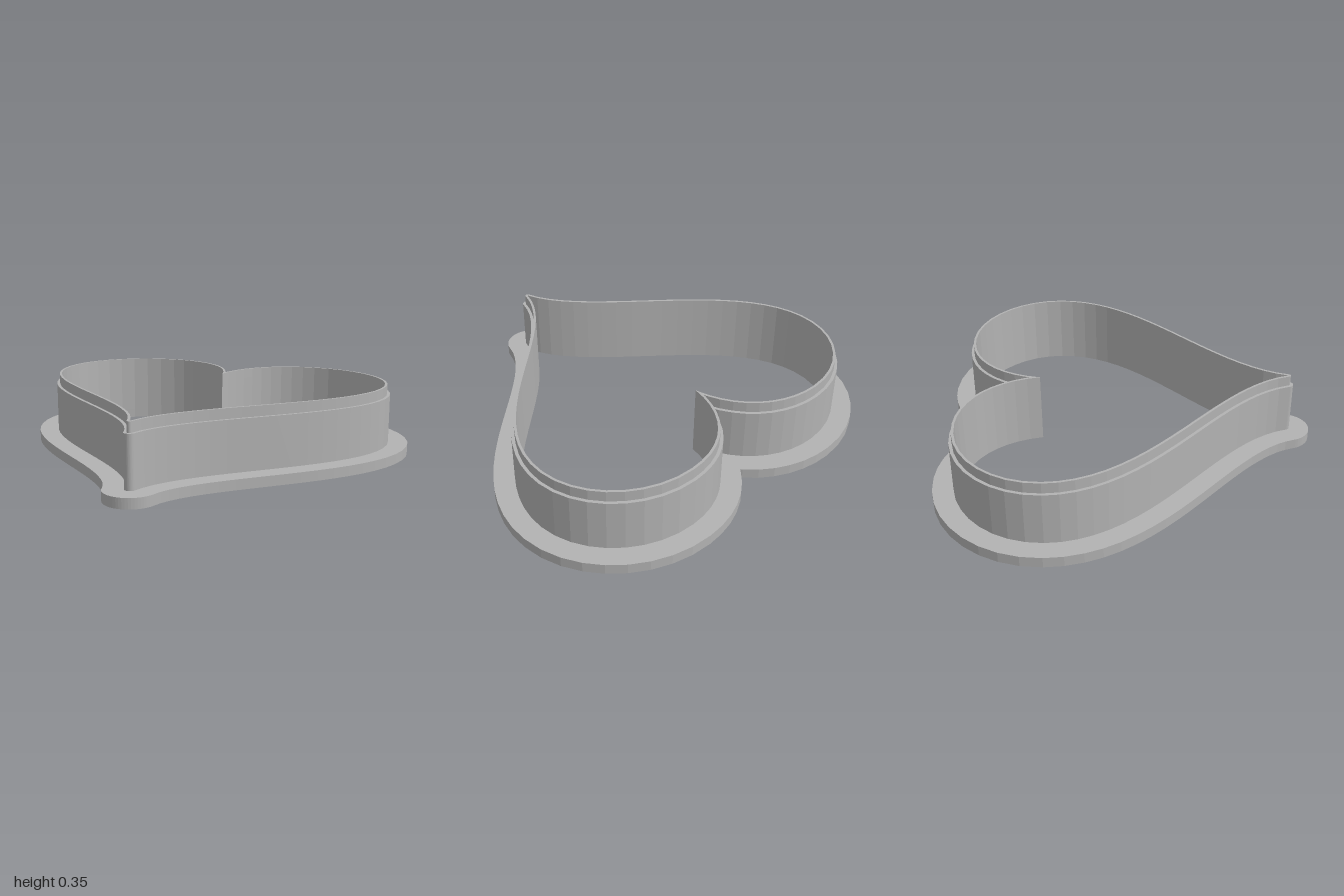
import * as THREE from 'three';

const V = (x, z) => new THREE.Vector2(x, z);

// Right half of the inner heart in (x, z): tip -> widest point -> lobe top -> notch
const HALF = [
  [new THREE.CubicBezierCurve(V(0, 0.79), V(0.1, 0.4), V(0.875, 0.1), V(0.875, -0.37)), 20],
  [new THREE.CubicBezierCurve(V(0.875, -0.37), V(0.875, -0.6), V(0.67, -0.79), V(0.42, -0.79)), 9],
  [new THREE.CubicBezierCurve(V(0.42, -0.79), V(0.2, -0.79), V(0.04, -0.65), V(0, -0.43)), 10],
];

// Half heart pushed outwards by d, with a round join at the tip and a mitre at the notch
function halfOutline(d) {
  const pts = [];
  HALF.forEach(([curve, n], k) => {
    for (let i = k ? 1 : 0; i <= n; i++) {
      const p = curve.getPoint(i / n), t = curve.getTangent(i / n);
      pts.push(V(p.x - t.y * d, p.y + t.x * d));
    }
  });
  if (d === 0) return pts;

  // cut the notch side at the mirror plane
  const cut = pts.findIndex((p, i) => i > 20 && p.x <= 0);
  const a = pts[cut - 1], b = pts[cut];
  const out = pts.slice(0, cut);
  out.push(a.clone().lerp(b, a.x / (a.x - b.x)));

  // arc around the tip
  const start = Math.atan2(out[0].y - 0.79, out[0].x);
  const arc = [];
  for (let i = 0; i < 12; i++) {
    const ang = Math.PI / 2 + (start - Math.PI / 2) * (i / 12);
    arc.push(V(Math.cos(ang) * d, 0.79 + Math.sin(ang) * d));
  }
  return arc.concat(out);
}

// Closed heart; z is negated because the shape is later laid flat
function heart(d) {
  const right = halfOutline(d).map((p) => V(p.x, -p.y));
  const left = right.slice(1, -1).reverse().map((p) => V(-p.x, p.y));
  right[0].x = right[right.length - 1].x = 0;
  return right.concat(left);
}

export function createModel() {
  const group = new THREE.Group();
  group.name = 'heartCutter';
  const grey = new THREE.MeshStandardMaterial({ color: 0xb2b2b2 });
  grey.name = 'grey plastic';

  // One heart-shaped ring between heights y0 and y1
  function ring(name, offset, y0, y1) {
    const shape = new THREE.Shape(heart(offset));
    shape.holes.push(new THREE.Path(heart(0)));
    const geo = new THREE.ExtrudeGeometry(shape, { depth: y1 - y0, bevelEnabled: false });
    geo.rotateX(-Math.PI / 2).translate(0, y0, 0);
    const mesh = new THREE.Mesh(geo, grey);
    mesh.name = name;
    group.add(mesh);
  }

  ring('baseFlange', 0.125, 0, 0.05);
  ring('wall', 0.027, 0.05, 0.3);
  ring('cuttingEdge', 0.012, 0.3, 0.35);
  return group;
}
